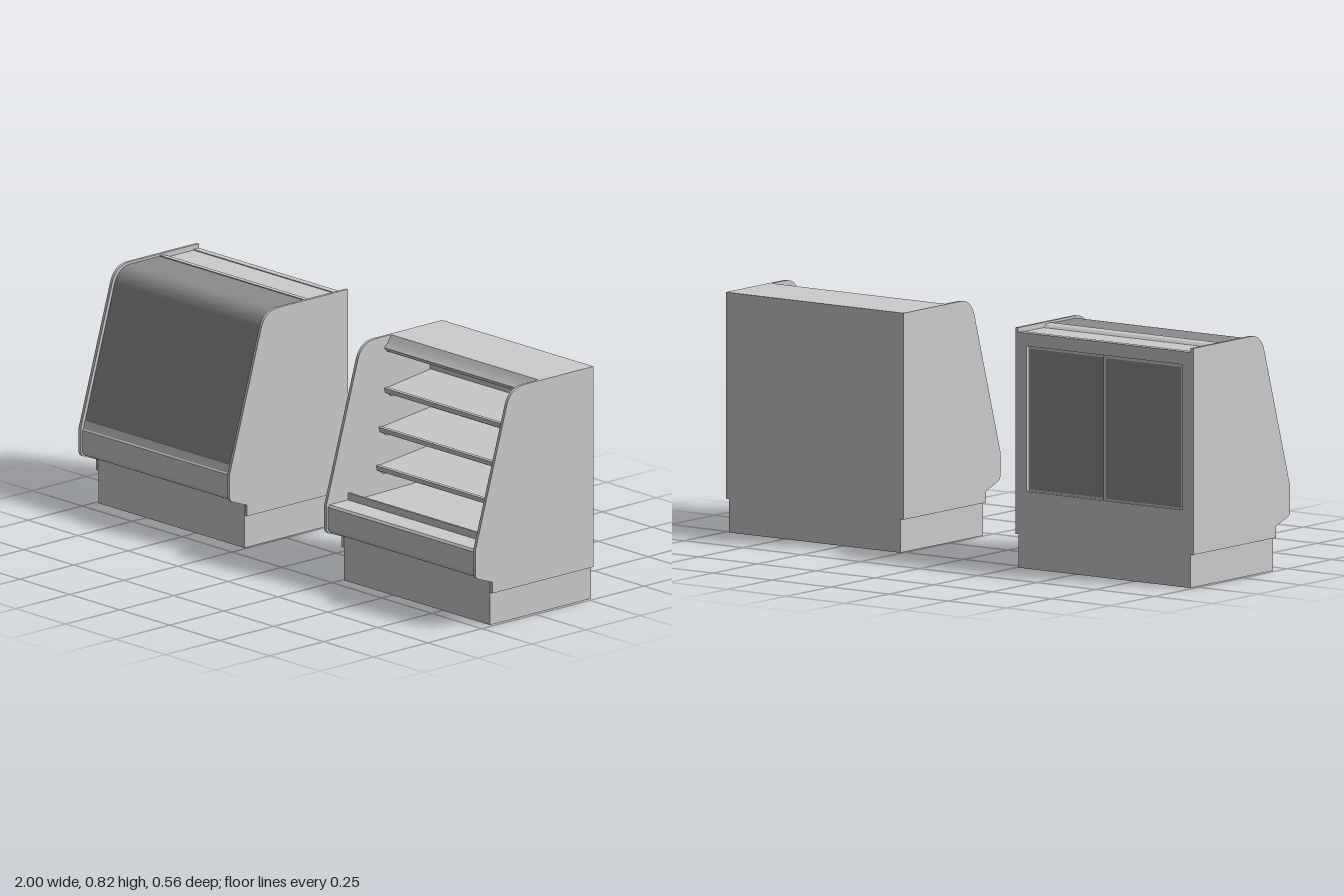
import * as THREE from 'three';
import { toCreasedNormals } from 'three/addons/utils/BufferGeometryUtils.js';

const grey = new THREE.MeshStandardMaterial({ color: 0xcccccc });
const glass = new THREE.MeshStandardMaterial({ color: 0x8c8c8c });

const WIDTH = 0.756;      // one cabinet
const SIDE = 0.011;       // side panel thickness
const INNER = WIDTH - 2 * SIDE;
const BACK = -0.266;

function add(group, name, geometry, material = grey) {
  const mesh = new THREE.Mesh(geometry, material);
  mesh.name = name;
  group.add(mesh);
  return mesh;
}

// Box given by its limits
function box(group, name, [x0, x1], [y0, y1], [z0, z1], material) {
  const g = new THREE.BoxGeometry(x1 - x0, y1 - y0, z1 - z0);
  g.translate((x0 + x1) / 2, (y0 + y1) / 2, (z0 + z1) / 2);
  return add(group, name, g, material);
}

// Profile drawn in (z, y), extruded along x and centred on cx
function prism(group, name, shape, width, cx = 0, material = grey) {
  let g = new THREE.ExtrudeGeometry(shape, { depth: width, bevelEnabled: false, curveSegments: 14 });
  g.rotateY(-Math.PI / 2);
  g.translate(width / 2 + cx, 0, 0);
  g = toCreasedNormals(g, 0.4);
  return add(group, name, g, material);
}

const poly = (pts) => new THREE.Shape(pts.map(([z, y]) => new THREE.Vector2(z, y)));

// Side cheek with sloped front and rounded upper corner
function sideShape() {
  const s = new THREE.Shape();
  s.moveTo(BACK, 0.115);
  s.lineTo(0.2, 0.115);
  s.lineTo(0.2, 0.154);
  s.lineTo(0.265, 0.178);
  s.quadraticCurveTo(0.28, 0.184, 0.28, 0.198);
  s.lineTo(0.28, 0.28);
  s.lineTo(0.135, 0.765);
  s.quadraticCurveTo(0.117, 0.825, 0.055, 0.825);
  s.lineTo(BACK, 0.825);
  s.closePath();
  return s;
}

// Plinth, lower tub and the two cheeks shared by both cabinets
function cabinetShell() {
  const g = new THREE.Group();
  const h = INNER / 2;
  box(g, 'plinth', [-h + 0.002, h - 0.002], [0, 0.158], [BACK, 0.2]);
  const tub = new THREE.Shape();
  tub.moveTo(BACK, 0.15);
  tub.lineTo(0.19, 0.15);
  tub.lineTo(0.2, 0.157);
  tub.lineTo(0.258, 0.18);
  tub.quadraticCurveTo(0.272, 0.186, 0.272, 0.2);
  tub.lineTo(0.272, 0.272);
  tub.lineTo(0.265, 0.28);
  tub.lineTo(0.18, 0.28);
  tub.lineTo(0.172, 0.265);
  tub.lineTo(BACK, 0.265);
  tub.closePath();
  prism(g, 'lowerTub', tub, INNER);
  for (const s of [-1, 1]) prism(g, 'sidePanel', sideShape(), SIDE, s * (WIDTH - SIDE) / 2);
  return g;
}

function openCabinet() {
  const g = cabinetShell();
  g.name = 'openCabinet';
  const h = INNER / 2;
  box(g, 'backWall', [-h, h], [0.115, 0.8], [BACK, -0.2]);

  // Top with a sloped canopy lip
  prism(g, 'topCanopy', poly([[BACK, 0.79], [-0.06, 0.79], [-0.05, 0.77], [0.0, 0.77],
    [0.012, 0.785], [-0.004, 0.8], [-0.02, 0.825], [BACK, 0.825]]), INNER);

  // Tilted shelves, each with a price rail and end brackets
  for (const [y, z] of [[0.642, 0.015], [0.508, 0.04], [0.374, 0.052]]) {
    const back = y + 0.026;
    const shelf = new THREE.Group();
    shelf.name = 'shelf';
    prism(shelf, 'shelfBoard', poly([[-0.2, back - 0.01], [z - 0.008, y - 0.01],
      [z - 0.008, y], [-0.2, back]]), INNER - 0.004);
    prism(shelf, 'priceRail', poly([[z - 0.012, y - 0.014], [z - 0.005, y - 0.016],
      [z, y + 0.002], [z - 0.01, y + 0.004]]), INNER - 0.004);
    for (const s of [-1, 1]) {
      prism(shelf, 'shelfBracket', poly([[-0.2, back - 0.06], [z - 0.03, y - 0.032],
        [z - 0.008, y - 0.012], [-0.2, back - 0.01]]), 0.005, s * (h - 0.005));
    }
    g.add(shelf);
  }

  // Deck and low retaining rail
  prism(g, 'deck', poly([[-0.2, 0.262], [0.17, 0.262], [0.17, 0.272], [-0.2, 0.28]]), INNER);
  box(g, 'deckRail', [-h, h], [0.265, 0.305], [0.172, 0.18]);
  return g;
}

function closedCabinet() {
  const g = cabinetShell();
  g.name = 'closedCabinet';
  const h = INNER / 2;

  // Curved front glass
  const s = new THREE.Shape();
  s.moveTo(-0.09, 0.817);
  s.lineTo(0.05, 0.817);
  s.quadraticCurveTo(0.107, 0.817, 0.125, 0.758);
  s.lineTo(0.261, 0.3);
  s.lineTo(0.253, 0.298);
  s.lineTo(0.117, 0.756);
  s.quadraticCurveTo(0.101, 0.809, 0.05, 0.809);
  s.lineTo(-0.09, 0.809);
  s.closePath();
  prism(g, 'frontGlass', s, INNER, 0, glass);
  prism(g, 'glassSill', poly([[0.235, 0.275], [0.268, 0.275], [0.261, 0.306], [0.243, 0.306]]), INNER);

  // Roof and glass clamp rail
  box(g, 'roof', [-h, h], [0.785, 0.807], [BACK, -0.085]);
  prism(g, 'glassClamp', poly([[-0.125, 0.805], [-0.085, 0.805], [-0.085, 0.82], [-0.112, 0.816]]), INNER);

  // Rear frame around the door opening
  const frame = new THREE.Shape();
  frame.moveTo(-h, 0.115);
  frame.lineTo(h, 0.115);
  frame.lineTo(h, 0.81);
  frame.lineTo(-h, 0.81);
  frame.closePath();
  const d = 0.332, y0 = 0.262, y1 = 0.765;
  const hole = new THREE.Path();
  hole.moveTo(-d, y0);
  hole.lineTo(-d, y1);
  hole.lineTo(d, y1);
  hole.lineTo(d, y0);
  hole.closePath();
  frame.holes.push(hole);
  const frameGeo = new THREE.ExtrudeGeometry(frame, { depth: 0.025, bevelEnabled: false });
  frameGeo.translate(0, 0, BACK);
  add(g, 'rearFrame', frameGeo);

  // Two sliding doors on separate tracks
  const b = 0.01;
  for (const [x0, x1, z] of [[-d, 0.008, BACK + 0.005], [-0.008, d, BACK + 0.013]]) {
    const door = new THREE.Group();
    door.name = 'slidingDoor';
    box(door, 'doorGlass', [x0 + b, x1 - b], [y0 + b, y1 - b], [z + 0.002, z + 0.006], glass);
    for (const x of [x0, x1 - b]) box(door, 'doorStile', [x, x + b], [y0, y1], [z, z + 0.008]);
    for (const y of [y0, y1 - b]) box(door, 'doorRail', [x0 + b, x1 - b], [y, y + b], [z, z + 0.008]);
    g.add(door);
  }
  return g;
}

export function createModel() {
  const model = new THREE.Group();
  model.name = 'displayCabinets';
  const open = openCabinet();
  open.position.x = 1 - WIDTH / 2;
  const closed = closedCabinet();
  closed.position.set(-1 + WIDTH / 2, 0, -0.014);
  model.add(open, closed);
  return model;
}
